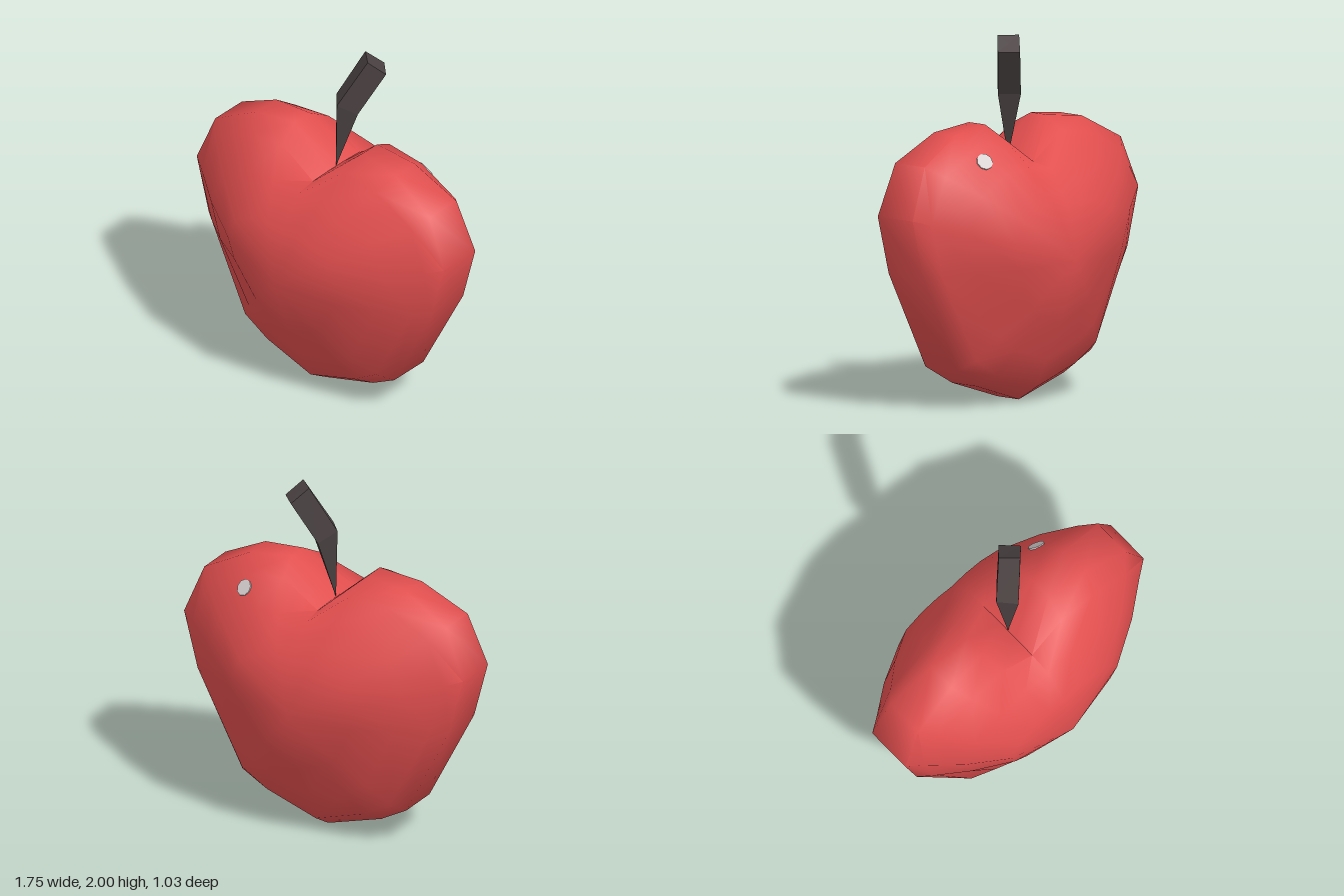
import * as THREE from 'three';
import { toCreasedNormals } from 'three/addons/utils/BufferGeometryUtils.js';

// Skin closed rings of [x, y, z] points, skipping triangles that collapse at a tip.
function loft(rings) {
  const n = rings[0].length;
  const positions = [];
  const tri = (...pts) => {
    const [a, b, c] = pts.map((p) => new THREE.Vector3(...p));
    const area = b.clone().sub(a).cross(c.clone().sub(a)).length();
    if (area > 1e-7) positions.push(...pts.flat());
  };
  for (let k = 0; k < rings.length - 1; k++) {
    for (let i = 0; i < n; i++) {
      const j = (i + 1) % n;
      tri(rings[k][i], rings[k][j], rings[k + 1][j]);
      tri(rings[k][i], rings[k + 1][j], rings[k + 1][i]);
    }
  }
  const geometry = new THREE.BufferGeometry();
  geometry.setAttribute('position', new THREE.Float32BufferAttribute(positions, 3));
  geometry.computeVertexNormals();
  return geometry;
}

// Rim of the fruit, bottom to notch on the +x side: x, y, half depth
const rim = [
  [0, 0, 0.08], [0.34, 0.11, 0.09], [0.515, 0.215, 0.12], [0.79, 0.75, 0.13], [0.875, 1.07, 0.13],
  [0.76, 1.35, 0.11], [0.49, 1.49, 0.08], [0.24, 1.52, 0.06], [0, 1.31, 0.06],
];
const outline = [...rim, ...rim.slice(1, -1).reverse().map(([x, y, w]) => [-x, y, w])];

// Loops shrink from the rim to the middle of the belly
const CENTRE_Y = 0.8;
const loops = [
  { scale: 1, notch: 1.31 },
  { scale: 0.9, upper: 0.19, lower: 0.21, notch: 1.305 },
  { scale: 0.7, upper: 0.32, lower: 0.29, notch: 1.285 },
  { scale: 0.44, upper: 0.447, lower: 0.39, notch: 1.1 },
  { scale: 0, upper: 0.515, lower: 0.515, notch: CENTRE_Y },
];

function fruitGeometry() {
  const ring = (loop, side) => outline.map(([x, y, w], i) => {
    const low = THREE.MathUtils.clamp((CENTRE_Y + 0.1 - y) / 0.6, 0, 1);
    const z = loop.scale === 1 ? w : THREE.MathUtils.lerp(loop.upper, loop.lower, low);
    const height = i === rim.length - 1 ? loop.notch : CENTRE_Y + (y - CENTRE_Y) * loop.scale;
    return [x * loop.scale, height, z * side];
  });
  const back = [...loops].reverse().map((l) => ring(l, -1));
  const front = loops.map((l) => ring(l, 1));
  return toCreasedNormals(loft([...back, ...front]), THREE.MathUtils.degToRad(62));
}

// Bent square stem that tapers to a point in the notch
function stemGeometry() {
  const tip = Array(4).fill([0, 1.31, 0]);
  const bend = [[-0.04, 1.73, -0.05], [0.04, 1.73, 0.04], [0.12, 1.67, -0.04], [0.035, 1.67, -0.13]];
  const top = [[0.075, 2, -0.155], [0.16, 2, -0.075], [0.23, 1.92, -0.145], [0.145, 1.92, -0.23]];
  const cap = Array(4).fill([0.1525, 1.96, -0.151]);
  return loft([tip, bend, top, cap]);
}

export function createModel() {
  const red = new THREE.MeshStandardMaterial({ color: 0xe14e4e });
  red.name = 'apple red';
  const brown = new THREE.MeshStandardMaterial({ color: 0x4b4242, flatShading: true });
  brown.name = 'stem brown';
  const pale = new THREE.MeshStandardMaterial({ color: 0xd8d0d0 });
  pale.name = 'pale highlight';

  const group = new THREE.Group();
  group.name = 'apple';
  const add = (name, geometry, material) => {
    const mesh = new THREE.Mesh(geometry, material);
    mesh.name = name;
    group.add(mesh);
    return mesh;
  };

  add('fruit', fruitGeometry(), red);
  add('stem', stemGeometry(), brown);

  // Small glint lying on the back of the +x shoulder
  const glint = add('highlight', new THREE.CylinderGeometry(0.047, 0.047, 0.009, 9), pale);
  const normal = new THREE.Vector3(0.257, 0.564, -0.785).normalize();
  glint.quaternion.setFromUnitVectors(new THREE.Vector3(0, 1, 0), normal);
  glint.position.set(0.43, 1.355, -0.237).addScaledVector(normal, 0.004);

  return group;
}
